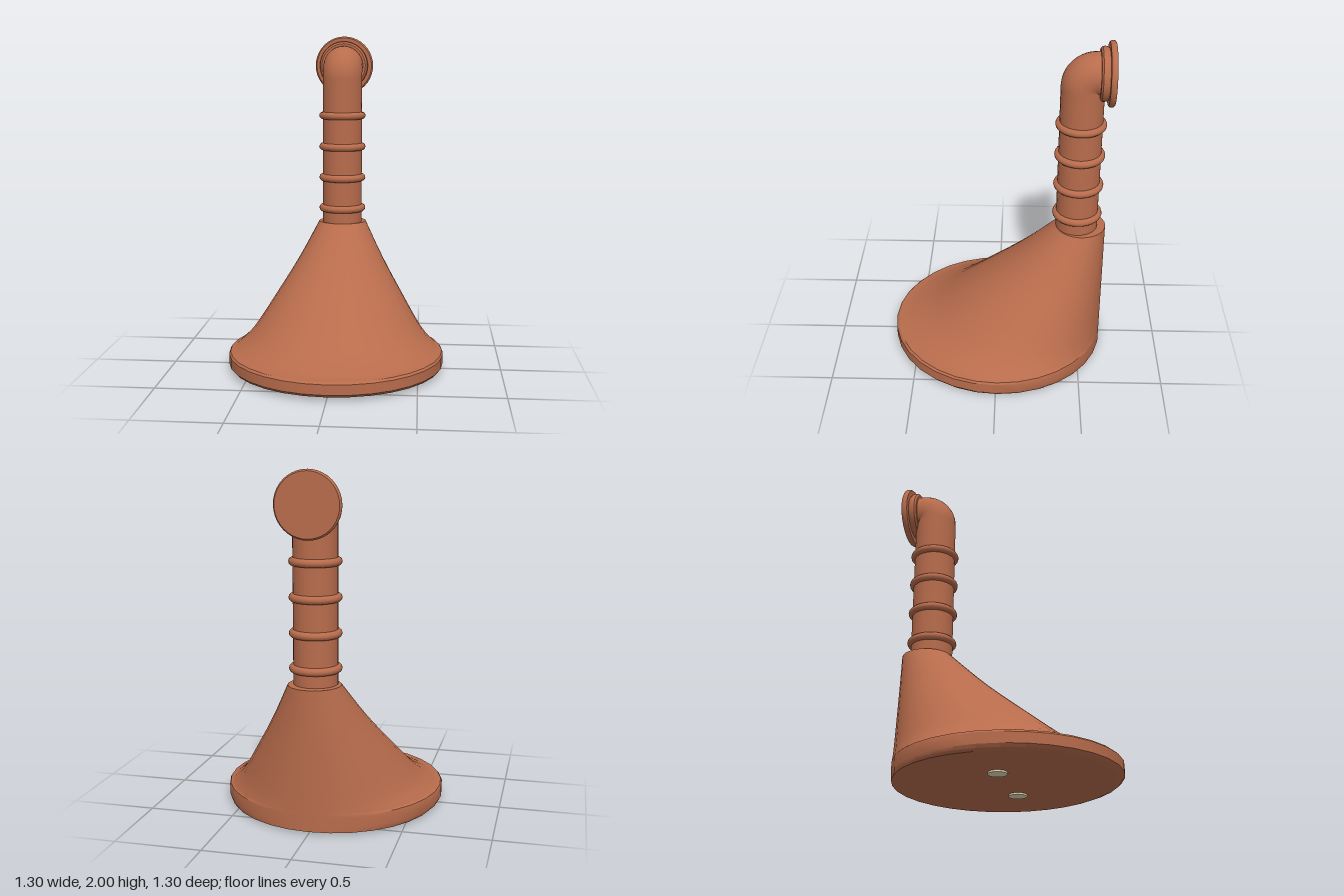
import * as THREE from 'three';
import { toCreasedNormals } from 'three/addons/utils/BufferGeometryUtils.js';

const BACK = -0.65;   // wall plane
const PIPE_Z = -0.475;
const PIPE_R = 0.125;

const copper = new THREE.MeshStandardMaterial({ color: 0xb86c4c });
copper.name = 'copper';
const lampGlass = new THREE.MeshStandardMaterial({ color: 0xfff4cc });
lampGlass.name = 'lampGlass';

const v2 = (p) => new THREE.Vector2(p[0], p[1]);

function add(group, name, geometry, material = copper) {
  const mesh = new THREE.Mesh(geometry, material);
  mesh.name = name;
  group.add(mesh);
  return mesh;
}

// Stack of circles that all touch the wall plane at the back
function wallLoft(profile) {
  const geo = new THREE.LatheGeometry(profile, 32);
  const pos = geo.attributes.position;
  for (let i = 0; i < pos.count; i++) {
    const r = Math.hypot(pos.getX(i), pos.getZ(i));
    pos.setZ(i, pos.getZ(i) + r + BACK);
  }
  return toCreasedNormals(geo, 0.45);
}

// Round part whose axis points towards the wall
function wallDisc(profile) {
  const geo = toCreasedNormals(new THREE.LatheGeometry(profile.map(v2), 40), 0.6);
  return geo.rotateX(-Math.PI / 2);
}

export function createModel() {
  const model = new THREE.Group();
  model.name = 'rangeHood';

  // Flared hood with a closed underside and a rounded rim
  const flare = new THREE.SplineCurve(
    [[0.618, 0.118], [0.525, 0.2], [0.392, 0.4], [0.268, 0.6], [0.15, 0.82]].map(v2)
  ).getPoints(16);
  const rim = [[0, 0.01], [0.622, 0.01], [0.64, 0.022], [0.65, 0.04], [0.65, 0.1], [0.643, 0.112]].map(v2);
  add(model, 'hood', wallLoft([...rim, ...flare, new THREE.Vector2(0, 0.82)]));

  // Lamps set into the underside
  for (const side of [-1, 1]) {
    const lamp = add(model, side > 0 ? 'leftLamp' : 'rightLamp',
      new THREE.CylinderGeometry(0.055, 0.055, 0.012, 20), lampGlass);
    lamp.position.set(side * 0.235, 0.006, 0);
  }

  // Flue pipe: straight run, elbow, short run to the wall
  const bend = 0.075;
  const topY = 1.815;
  const at = (y, z) => new THREE.Vector3(0, y, z);
  const path = new THREE.CurvePath();
  path.add(new THREE.LineCurve3(at(0.79, PIPE_Z), at(topY - bend, PIPE_Z)));
  const k = bend * 0.552;
  path.add(new THREE.CubicBezierCurve3(
    at(topY - bend, PIPE_Z), at(topY - bend + k, PIPE_Z),
    at(topY, PIPE_Z - bend + k), at(topY, PIPE_Z - bend)));
  path.add(new THREE.LineCurve3(at(topY, PIPE_Z - bend), at(topY, -0.62)));
  add(model, 'fluePipe', new THREE.TubeGeometry(path, 120, PIPE_R, 28, false));

  // Bands around the pipe
  [0.91, 1.107, 1.305, 1.503].forEach((y, i) => {
    const band = add(model, `pipeBand${i + 1}`, new THREE.TorusGeometry(0.125, 0.023, 12, 36));
    band.rotation.x = Math.PI / 2;
    band.position.set(0, y, PIPE_Z);
  });

  // Collar and wall flange
  const collar = add(model, 'wallCollar', wallDisc([
    [0.1, 0], [0.14, 0], [0.152, 0.01], [0.155, 0.024], [0.152, 0.038], [0.14, 0.055], [0.1, 0.055]
  ]));
  collar.position.set(0, topY, -0.566);
  const flange = add(model, 'wallFlange', wallDisc([
    [0, 0], [0.177, 0], [0.183, 0.005], [0.186, 0.012], [0.186, 0.023], [0.183, 0.03], [0.177, 0.035], [0, 0.035]
  ]));
  flange.position.set(0, topY, -0.615);

  return model;
}
